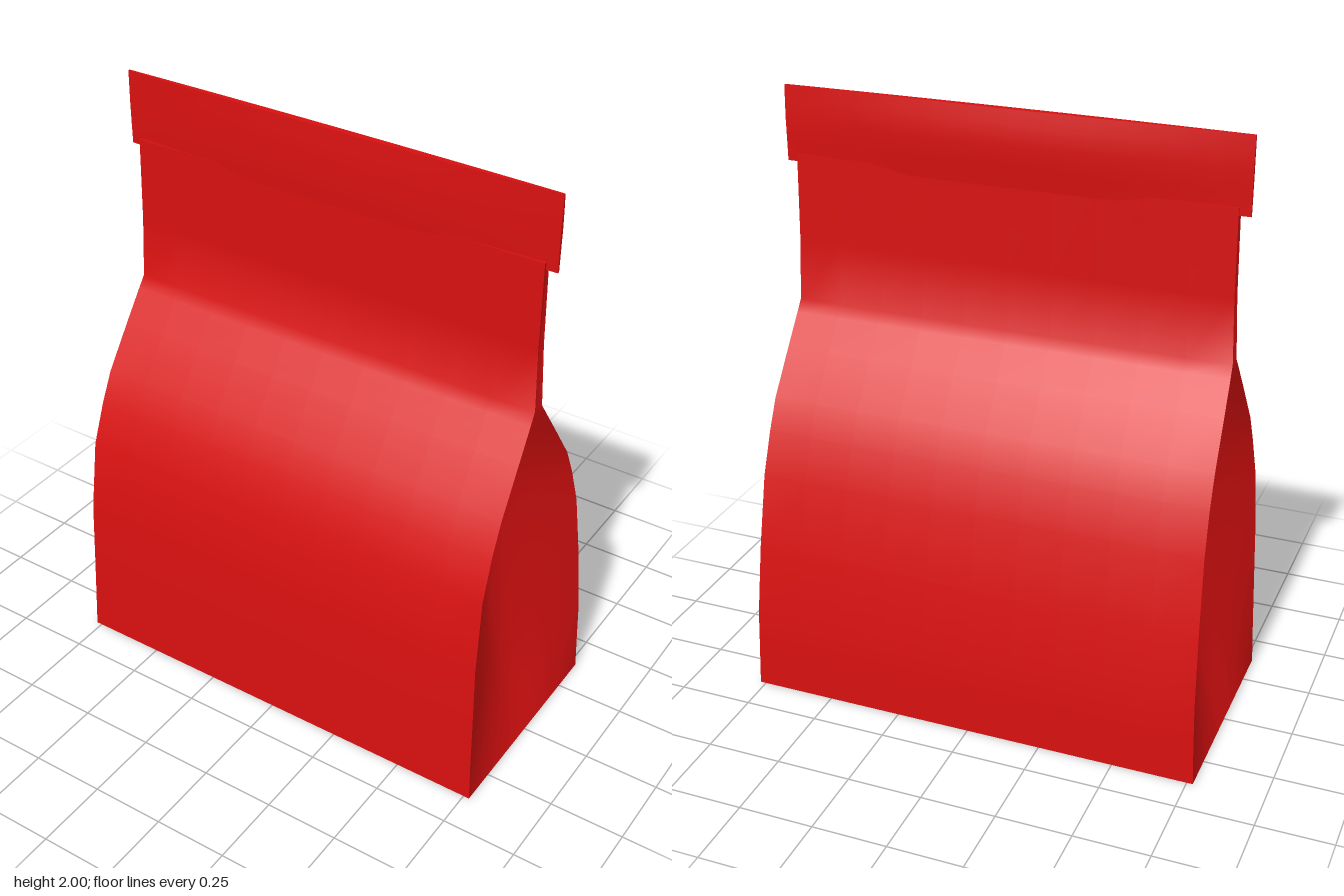
import * as THREE from 'three';
import { toCreasedNormals } from 'three/addons/utils/BufferGeometryUtils.js';

const red = new THREE.MeshStandardMaterial({ color: 0xd81010, side: THREE.DoubleSide });

// Skin closed rings (counter-clockwise from above, bottom to top) and cap both ends
function loft(rings, crease) {
  const n = rings[0].length;
  const points = rings.flat();
  const index = [];
  for (let i = 0; i < rings.length - 1; i++) {
    for (let j = 0; j < n; j++) {
      const k = (j + 1) % n;
      const a = i * n + j, b = i * n + k, c = b + n, d = a + n;
      index.push(a, b, c, a, c, d);
    }
  }
  const centre = ring => [0, 1, 2].map(k => ring.reduce((s, p) => s + p[k], 0) / n);
  const bottom = points.push(centre(rings[0])) - 1;
  const top = points.push(centre(rings[rings.length - 1])) - 1;
  const last = (rings.length - 1) * n;
  for (let j = 0; j < n; j++) {
    const k = (j + 1) % n;
    index.push(bottom, k, j, top, last + j, last + k);
  }
  const geometry = new THREE.BufferGeometry();
  geometry.setAttribute('position', new THREE.Float32BufferAttribute(points.flat(), 3));
  geometry.setIndex(index);
  return toCreasedNormals(geometry, crease);
}

// Bag cross-section: flat front and back panels, sides folded inward by `fold`
function bagRing([y, w, front, back, fold]) {
  const ring = [], steps = 10;
  const mid = (front + back) / 2, half = (front - back) / 2;
  for (const side of [1, -1]) {
    for (let i = 0; i < steps; i++) {
      ring.push([side * w * (2 * i / steps - 1), y, side > 0 ? front : back]);
    }
    for (let i = 0; i < steps; i++) {
      const t = 1 - 2 * i / steps;
      ring.push([side * (w - fold * (1 - Math.abs(t) ** 1.4)), y, mid + side * t * half]);
    }
  }
  return ring;
}

// Strip cross-section: a thin lens tapering towards both ends
function stripRing([y, front, back]) {
  const ring = [], steps = 12, w = 0.755;
  const bulge = u => 0.25 + 0.75 * (1 - u * u);
  for (const [side, z] of [[1, front], [-1, back]]) {
    for (let i = 0; i <= steps; i++) {
      const u = 2 * i / steps - 1;
      ring.push([side * w * u, y, 0.003 + (z - 0.003) * bulge(u)]);
    }
  }
  return ring;
}

export function createModel() {
  const group = new THREE.Group();
  const add = (name, geometry) => {
    const mesh = new THREE.Mesh(geometry, red);
    mesh.name = name;
    group.add(mesh);
  };

  // Pouch with side gussets: height, half width, front z, back z, gusset depth
  const bag = [
    [0, 0.77, 0.375, -0.375, 0],
    [0.14, 0.765, 0.37, -0.373, 0.06],
    [0.28, 0.761, 0.364, -0.37, 0.1],
    [0.52, 0.754, 0.355, -0.34, 0.14],
    [0.77, 0.747, 0.322, -0.295, 0.155],
    [0.91, 0.743, 0.27, -0.247, 0.15],
    [1.01, 0.741, 0.222, -0.202, 0.135],
    [1.15, 0.736, 0.127, -0.108, 0.09],
    [1.25, 0.732, 0.058, -0.04, 0.04],
    [1.29, 0.73, 0.03, -0.014, 0.015],
    [1.5, 0.722, 0.024, -0.01, 0.005],
    [1.78, 0.719, 0.018, -0.007, 0],
  ];
  add('bag', loft(bag.map(bagRing), 0.6));

  // Folded closure strip along the top: height, front z, back z
  const strip = [
    [1.755, 0.021, -0.009],
    [1.82, 0.024, -0.014],
    [1.89, 0.024, -0.021],
    [1.95, 0.02, -0.015],
    [2, 0.016, -0.006],
  ];
  add('topStrip', loft(strip.map(stripRing), 0.6));

  return group;
}
